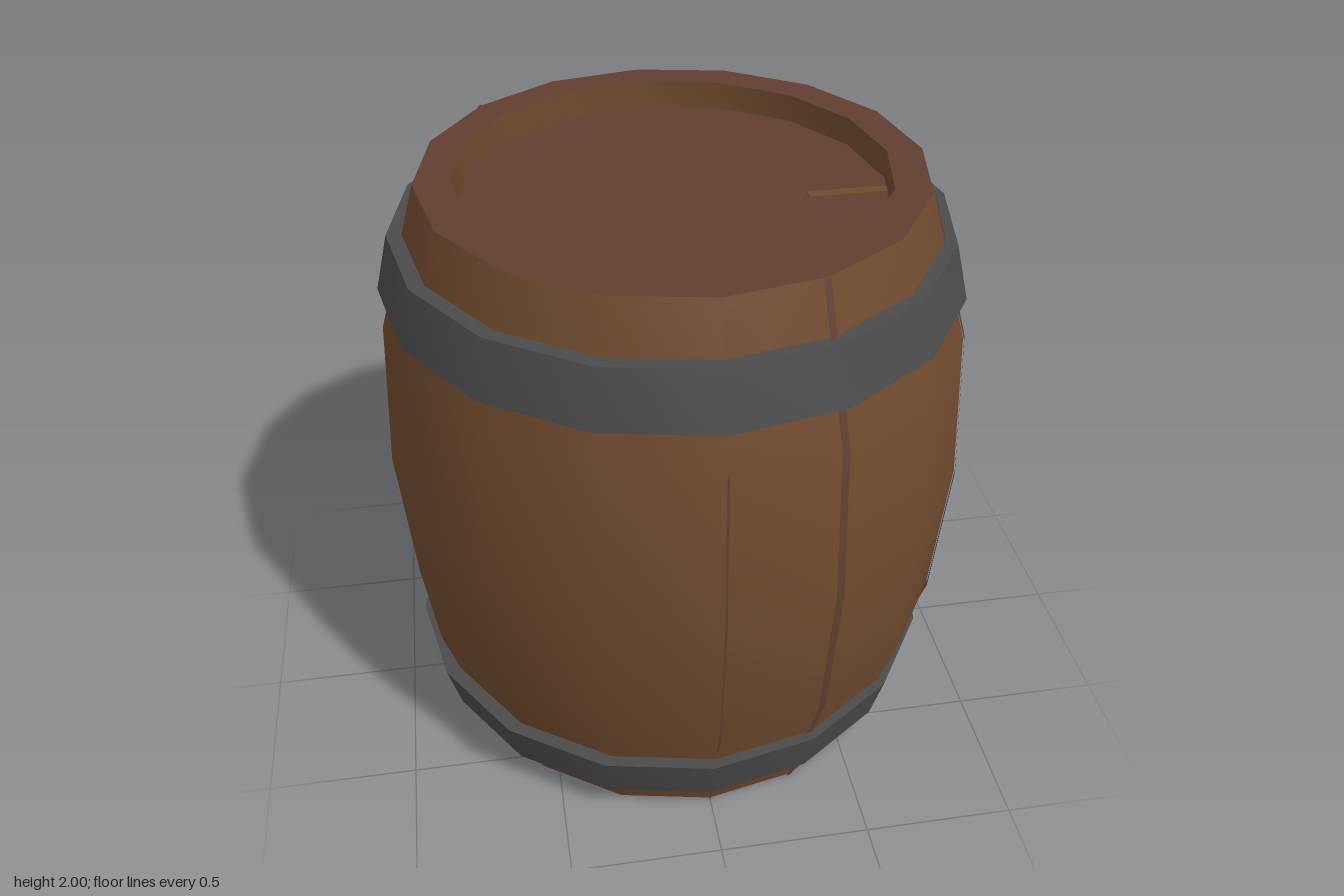
import * as THREE from 'three';
import { toCreasedNormals } from 'three/addons/utils/BufferGeometryUtils.js';

const SIDES = 16;
// Barrel outline as [radius, height]
const PROFILE = [[0.783, 0], [0.927, 0.49], [0.962, 1], [0.927, 1.52], [0.783, 2]];
const RIM = 0.783, INNER = 0.67;
const FLOOR_LOW = 0.1, FLOOR_HIGH = 1.91;

const material = (name, color) => {
  const m = new THREE.MeshStandardMaterial({ color });
  m.name = name;
  return m;
};

const lathe = (pts) => toCreasedNormals(
  new THREE.LatheGeometry(pts.map(([r, y]) => new THREE.Vector2(r, y)), SIDES), 0.7);

// Outline radius at height y
function radiusAt(y) {
  let i = 0;
  while (i < PROFILE.length - 2 && y > PROFILE[i + 1][1]) i++;
  const [r0, y0] = PROFILE[i], [r1, y1] = PROFILE[i + 1];
  return r0 + (r1 - r0) * (y - y0) / (y1 - y0);
}

export function createModel() {
  const group = new THREE.Group();
  group.name = 'barrel';
  const wood = material('oakBrown', 0x714b2e);
  const lid = material('reddishBrown', 0x623f31);
  const iron = material('ironGrey', 0x4b4b4b);
  lid.side = THREE.DoubleSide;

  const add = (name, geometry, mat) => {
    const mesh = new THREE.Mesh(geometry, mat);
    mesh.name = name;
    group.add(mesh);
    return mesh;
  };

  // Bulging body and the walls of the two end recesses
  add('body', lathe(PROFILE), wood);
  add('topRecessWall', lathe([[INNER, 2], [INNER, FLOOR_HIGH]]), wood);
  add('bottomRecessWall', lathe([[INNER, FLOOR_LOW], [INNER, 0]]), wood);

  // Rims and sunken lids at both ends
  for (const [end, rimY, floorY, turn] of [
    ['top', 2, FLOOR_HIGH, -Math.PI / 2], ['bottom', 0, FLOOR_LOW, Math.PI / 2]]) {
    const rim = add(end + 'Rim', new THREE.RingGeometry(INNER, RIM, SIDES), lid);
    const disc = add(end + 'Lid', new THREE.CircleGeometry(INNER, SIDES), lid);
    rim.rotation.x = disc.rotation.x = turn;
    rim.position.y = rimY;
    disc.position.y = floorY;
  }

  // Iron hoops: [name, low y, low radius, high y, high radius, x offset]
  for (const [name, y0, r0, y1, r1, x] of [
    ['upperHoop', 1.66, 0.923, 1.84, 0.876, -0.003],
    ['lowerHoop', 0.14, 0.87, 0.31, 0.913, -0.013]]) {
    const inner = 0.76;
    add(name, lathe([[inner, y0], [r0, y0], [r1, y1], [inner, y1]]), iron).position.x = x;
  }

  // Thin seams between staves: [angle in degrees, low y, high y, width]
  const seams = [
    [21.8, 0, 2, 0.028], [67.5, 0, 2, 0.028], [225, 0.2, 2, 0.022],
    [157.5, 0.96, 1.25, 0.016], [157.5, 0.85, 0.9, 0.016], [157.5, 0.48, 0.6, 0.016],
    [0, 0, 0.12, 0.007], [0, 0.37, 1.53, 0.007], [90, 0.82, 1, 0.008],
  ];
  for (const [deg, y0, y1, width] of seams) {
    const ys = [y0, ...PROFILE.map((p) => p[1]).filter((y) => y > y0 && y < y1), y1];
    const pts = ys.map((y) => new THREE.Vector2(radiusAt(y) + 0.004, y));
    const arc = width / 0.95;
    add('staveSeam', new THREE.LatheGeometry(pts, 1, deg * Math.PI / 180 - arc / 2, arc), lid);
  }

  // Small worn streak on the top lid
  add('lidStreak', new THREE.BoxGeometry(0.25, 0.006, 0.036), wood)
    .position.set(0.53, FLOOR_HIGH + 0.003, 0.083);

  return group;
}
